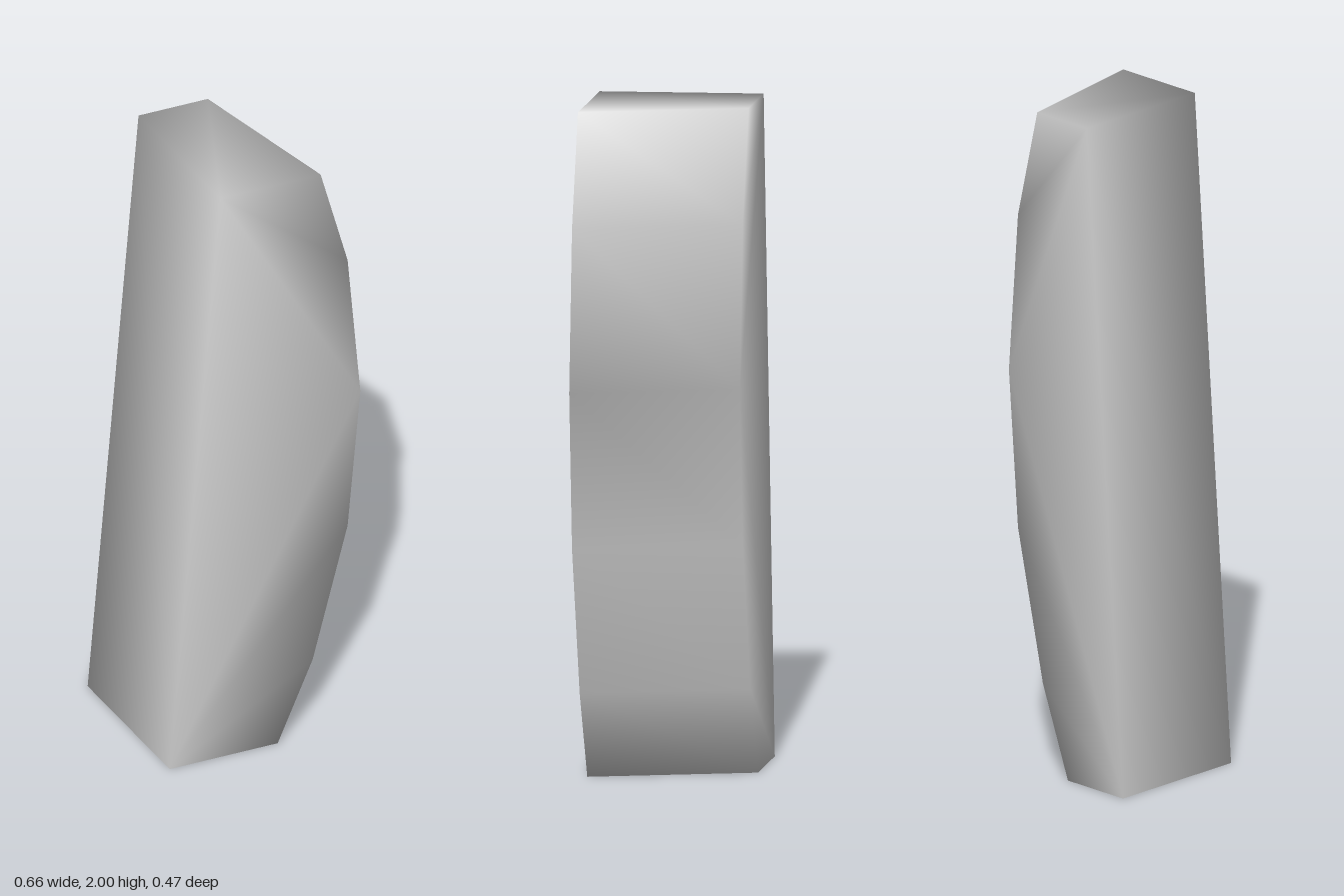
import * as THREE from 'three';

// Outline of the front end, counter-clockwise: straight left edge, bowed right edge
const frontOutline = [
  [-0.27, 0], [0.07, 0], [0.18, 0.27], [0.29, 0.72],
  [0.33, 1.19], [0.29, 1.67], [0.205, 2], [-0.11, 2],
];
const HALF_DEPTH = 0.237;
const LEFT_SKEW = 0.063;  // how far the back end shifts along the straight edge
const RIGHT_SKEW = 0.16;  // and along the bowed edge

function slabGeometry() {
  const n = frontOutline.length;
  const isLeft = (i) => i === 0 || i === n - 1;
  const positions = [];
  frontOutline.forEach(([x, y]) => positions.push(x, y, HALF_DEPTH));
  frontOutline.forEach(([x, y], i) =>
    positions.push(x - (isLeft(i) ? LEFT_SKEW : RIGHT_SKEW), y, -HALF_DEPTH));

  const index = [];
  // rim joining the front and back outlines
  for (let i = 0; i < n; i++) {
    const j = (i + 1) % n;
    index.push(i, i + n, j, j, i + n, j + n);
  }
  // end faces, fanned from the two corners of the straight edge
  const cap = (a, b, c) => index.push(a, b, c, a + n, c + n, b + n);
  for (let i = 1; i < n - 2; i++) cap(i < 4 ? 0 : n - 1, i, i + 1);
  cap(0, 4, n - 1);

  // shared corners give soft shading all round
  const geometry = new THREE.BufferGeometry();
  geometry.setAttribute('position', new THREE.Float32BufferAttribute(positions, 3));
  geometry.setIndex(index);
  geometry.computeVertexNormals();
  return geometry;
}

export function createModel() {
  const group = new THREE.Group();
  group.name = 'leaningSlab';
  const grey = new THREE.MeshStandardMaterial({ color: 0xcccccc });
  grey.name = 'light grey';
  const slab = new THREE.Mesh(slabGeometry(), grey);
  slab.name = 'slabBody';
  group.add(slab);
  return group;
}
